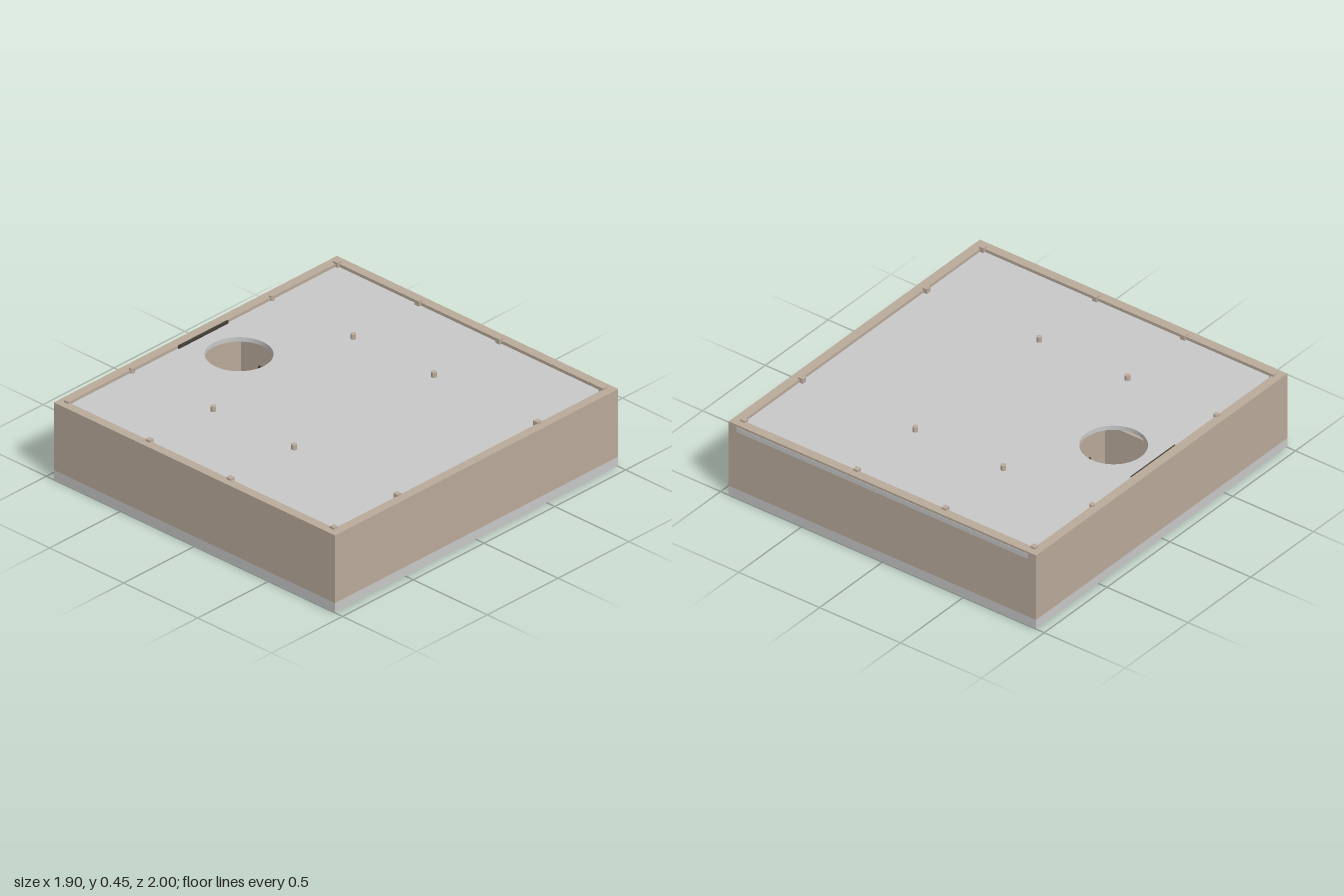
import * as THREE from 'three';

export function createModel() {
  const model = new THREE.Group();
  const mat = (name, color) => {
    const m = new THREE.MeshStandardMaterial({ color });
    m.name = name;
    return m;
  };
  const tan = mat('tan wall', 0xbaab9b);
  const grey = mat('light grey', 0xc8c8c8);
  const dark = mat('dark trim', 0x45403b);

  const add = (name, geometry, material, x = 0, y = 0, z = 0, parent = model) => {
    const mesh = new THREE.Mesh(geometry, material);
    mesh.name = name;
    mesh.position.set(x, y, z);
    parent.add(mesh);
    return mesh;
  };
  // Box given by its lower and upper corners
  const box = (name, material, x0, x1, y0, y1, z0, z1, parent) =>
    add(name, new THREE.BoxGeometry(x1 - x0, y1 - y0, z1 - z0), material,
      (x0 + x1) / 2, (y0 + y1) / 2, (z0 + z1) / 2, parent);
  const rect = (T, x0, x1, z0, z1) => new T([
    new THREE.Vector2(x0, -z0), new THREE.Vector2(x0, -z1),
    new THREE.Vector2(x1, -z1), new THREE.Vector2(x1, -z0)]);
  // Horizontal slab with holes
  const slab = (name, material, shape, y0, y1) => {
    const g = new THREE.ExtrudeGeometry(shape, { depth: y1 - y0, bevelEnabled: false, curveSegments: 32 });
    g.rotateX(-Math.PI / 2);
    return add(name, g, material, 0, y0, 0);
  };

  const W = 0.95, D = 1, H = 0.435, baseTop = 0.055, roofTop = 0.418;
  const hx = -0.645, hz = -0.01, hr = 0.168;

  // Foundation, underside and inner floor
  box('foundation', grey, -W, W, 0.004, baseTop, -D, D);
  box('underside', tan, -W + 0.008, W - 0.008, 0, 0.004, -D + 0.008, D - 0.008);
  box('floor', tan, -0.9, 0.9, baseTop, 0.06, -0.95, 0.95);

  // Outer walls rising to the parapet
  const ring = rect(THREE.Shape, -W, W, -D, D);
  ring.holes.push(rect(THREE.Path, -0.9, 0.9, -0.95, 0.95));
  slab('outerWalls', tan, ring, baseTop, H);

  // Roof with a round opening
  const roof = rect(THREE.Shape, -0.9, 0.9, -0.95, 0.95);
  roof.holes.push(new THREE.Path().absarc(hx, hz, hr, 0, Math.PI * 2, true));
  slab('roof', grey, roof, roofTop - 0.025, roofTop);

  // Square shaft under the opening
  const shaft = rect(THREE.Shape, hx - 0.19, hx + 0.19, hz - 0.19, hz + 0.19);
  shaft.holes.push(rect(THREE.Path, hx - 0.17, hx + 0.17, hz - 0.17, hz + 0.17));
  slab('shaftWalls', tan, shaft, 0.06, roofTop - 0.025);
  box('backDoor', dark, -0.69, -0.6, 0.06, 0.26, -0.18, -0.172);
  box('sideDoor', dark, -0.483, -0.475, 0.06, 0.26, -0.06, 0.04);

  // Column heads standing above the roof
  const xs = [-0.9, -0.35, 0.195, 0.893];
  for (const z of [-0.95, -0.488, 0.5, 0.95]) {
    xs.forEach((x, i) => {
      const round = Math.abs(z) < 0.9 && i < 3;
      const h = 0.446 - 0.395;
      const g = round ? new THREE.CylinderGeometry(0.014, 0.014, h, 20)
        : new THREE.BoxGeometry(0.028, h, 0.028);
      add('columnHead', g, tan, x, 0.395 + h / 2, z);
    });
  }

  // Strip along the back wall and the slim rail inside the parapet
  box('backStrip', grey, -0.9, 0.9, 0.395, 0.422, -1.002, -0.998);
  box('sideRail', dark, -0.9, -0.892, roofTop, H, -0.175, 0.175);

  // Small figure lying on the shaft floor
  const figure = new THREE.Group();
  figure.name = 'figure';
  figure.position.set(-0.635, 0.075, -0.01);
  figure.rotation.y = -0.53;
  model.add(figure);
  box('torso', tan, -0.05, 0.02, -0.012, 0.012, -0.018, 0.018, figure);
  add('head', new THREE.SphereGeometry(0.016, 16, 12), tan, -0.073, 0, 0, figure);
  for (const s of [-1, 1]) {
    box('leg', tan, 0.02, 0.1, -0.009, 0.009, s * 0.01 - 0.007, s * 0.01 + 0.007, figure);
    box('arm', tan, -0.045, 0.025, -0.007, 0.007, s * 0.023 - 0.005, s * 0.023 + 0.005, figure);
  }
  return model;
}
